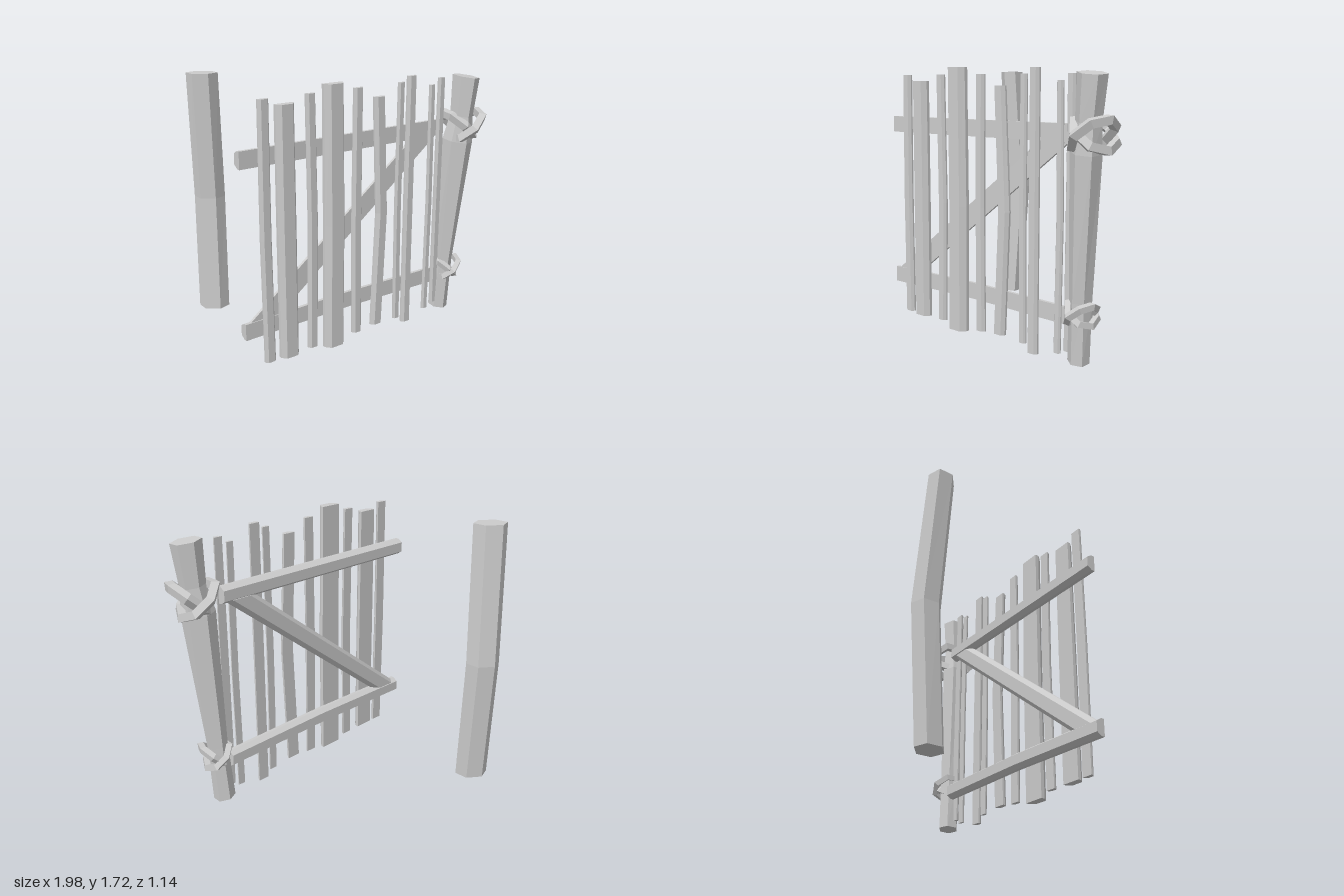
import * as THREE from 'three';

const material = new THREE.MeshStandardMaterial({ color: 0xcccccc, flatShading: true });

// Half-log section (flat at z = 0, bulging to +z) and hexagonal section, as [x, z]
const HALF = [[-0.6, 1], [0.6, 1], [1, 0.4], [1, 0], [-1, 0], [-1, 0.4]];
const HEX = [[-0.5, 0.87], [0.5, 0.87], [1, 0], [0.5, -0.87], [-0.5, -0.87], [-1, 0]];

// Loft a section through rings [x, y, z, scaleX, scaleZ]; slope slants the cuts
function loft(section, rings, slope = 0) {
  const n = section.length, pos = [], index = [];
  for (const [x, y, z, sx, sz] of rings)
    for (const [u, w] of section) pos.push(x + u * sx, y - u * sx * slope, z + w * sz);
  for (let r = 0; r < rings.length - 1; r++)
    for (let i = 0; i < n; i++) {
      const a = r * n + i, b = r * n + (i + 1) % n;
      index.push(a, b, b + n, a, b + n, a + n);
    }
  const top = (rings.length - 1) * n;
  for (let i = 1; i < n - 1; i++) index.push(top, top + i, top + i + 1, 0, i + 1, i);
  const g = new THREE.BufferGeometry();
  g.setAttribute('position', new THREE.Float32BufferAttribute(pos, 3));
  g.setIndex(index);
  const flat = g.toNonIndexed();
  flat.computeVertexNormals();
  return flat;
}

function add(parent, name, geometry) {
  const mesh = new THREE.Mesh(geometry, material);
  mesh.name = name;
  parent.add(mesh);
  return mesh;
}

// Two crossed, faceted loops of rope
function lashing(parent, name, x, y, z, radius, tube, spread) {
  const group = new THREE.Group();
  group.name = name;
  group.position.set(x, y, z);
  for (const side of [-1, 1]) {
    const g = new THREE.TorusGeometry(radius, tube, 4, 7);
    g.rotateX(Math.PI / 2);
    g.rotateY(side * 0.5);
    g.rotateX(side * 0.25);
    g.rotateZ(side * 0.68);
    g.translate(side * spread, 0, side * spread * 0.5);
    add(group, 'ropeLoop', g);
  }
  parent.add(group);
}

export function createModel() {
  const model = new THREE.Group();

  // Free-standing latch post, bowed to the back
  add(model, 'latchPost', loft(HEX, [
    [-0.895, 0.04, -0.355, 0.105, 0.08],
    [-0.895, 0.85, -0.405, 0.105, 0.085],
    [-0.895, 1.71, -0.35, 0.105, 0.08],
  ]));

  // Leaning hinge post with slanted ends
  add(model, 'hingePost', loft(HEX, [
    [0.72, 0.03, -0.377, 0.067, 0.065],
    [0.745, 0.4, -0.375, 0.062, 0.068],
    [0.805, 1.25, -0.37, 0.1, 0.09],
    [0.825, 1.42, -0.375, 0.075, 0.075],
    [0.845, 1.68, -0.385, 0.09, 0.085],
  ], 0.15));
  lashing(model, 'upperLashing', 0.83, 1.35, -0.405, 0.132, 0.034, 0.025);
  lashing(model, 'lowerLashing', 0.762, 0.33, -0.378, 0.094, 0.026, 0.012);

  // Open gate leaf: local x runs along the leaf, local +z is its front
  const gate = new THREE.Group();
  gate.name = 'gate';
  gate.position.z = 0.125;
  gate.rotation.y = 0.629;
  model.add(gate);

  // Rails, flat in front and rounded behind
  const rail = (name, y, sag) => {
    const g = loft(HALF, [
      [0, -0.71, 0.026, -0.053, -0.055],
      [-sag, 0.05, 0.026, -0.053, -0.055],
      [0, 0.83, 0.026, -0.053, -0.055],
    ]);
    g.rotateZ(-Math.PI / 2);
    add(gate, name, g).position.y = y;
  };
  rail('topRail', 1.348, 0);
  rail('bottomRail', 0.285, 0.012);

  // Diagonal brace, cut level against the rails
  add(gate, 'brace', loft(HALF, [
    [-0.59, 0.32, 0.02, -0.105, -0.045],
    [0.7, 1.31, 0.02, -0.105, -0.045],
  ]));

  // Pickets: front x, half width, bottom, top, sideways bend
  const pickets = [
    [-0.422, 0.031, 0.05, 1.68, -0.006],
    [-0.305, 0.054, 0.05, 1.64, 0],
    [-0.165, 0.029, 0.05, 1.68, 0.012],
    [-0.027, 0.062, 0.02, 1.725, 0.006],
    [0.12, 0.03, 0.05, 1.68, -0.006],
    [0.253, 0.037, 0.065, 1.61, 0.035],
    [0.397, 0.022, 0.05, 1.68, -0.006],
    [0.467, 0.031, 0.005, 1.715, 0],
    [0.611, 0.02, 0.05, 1.64, 0.008],
    [0.677, 0.024, 0.08, 1.68, 0],
  ];
  for (const [x, half, bottom, top, bend] of pickets) {
    const sx = half * 1.2, sz = half * 0.95;
    const s = (x - 0.588 * (0.025 + sz / 2)) / 0.808;
    add(gate, 'picket', loft(HALF, [
      [s, bottom, 0.025, sx, sz],
      [s + bend, 0.85, 0.025, sx, sz],
      [s, top, 0.025, sx * 0.95, sz],
    ]));
  }
  return model;
}
